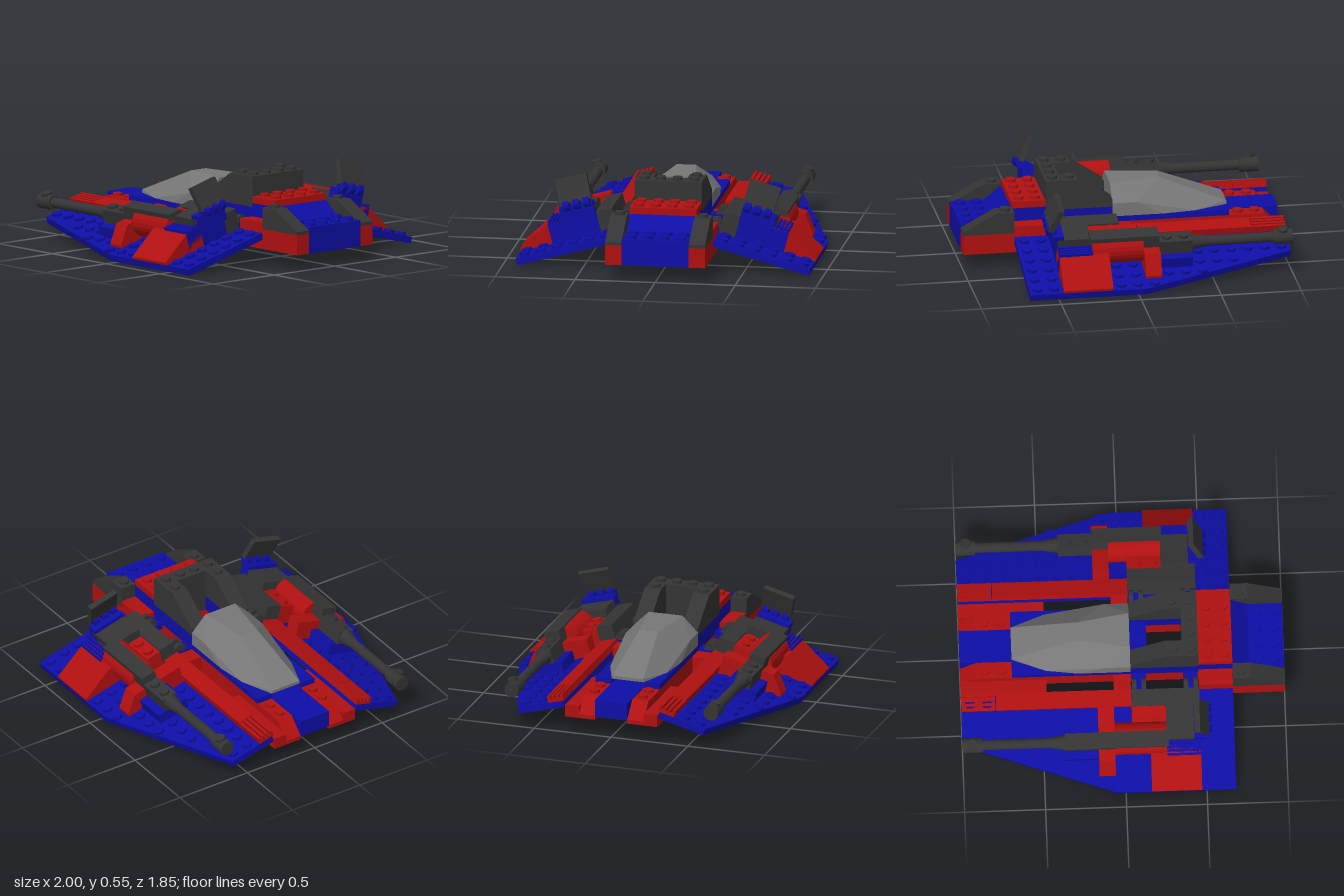
import * as THREE from 'three';
import { ConvexGeometry } from 'three/addons/geometries/ConvexGeometry.js';

const P = 0.1042; // stud pitch
const mat = (color) => new THREE.MeshStandardMaterial({ color, flatShading: true, side: THREE.DoubleSide });
const BLUE = mat(0x0e0ea6), RED = mat(0xb01010), DARK = mat(0x343434), GLASS = mat(0x777777);
const STUD = new THREE.CylinderGeometry(0.031, 0.031, 0.02, 14);

function add(parent, name, geometry, material) {
  const mesh = new THREE.Mesh(geometry, material);
  mesh.name = name;
  parent.add(mesh);
  return mesh;
}

// Block given by its limits on each axis
function block(parent, name, m, [x0, x1], [y0, y1], [z0, z1]) {
  const g = new THREE.BoxGeometry(x1 - x0, y1 - y0, Math.abs(z1 - z0));
  g.translate((x0 + x1) / 2, (y0 + y1) / 2, (z0 + z1) / 2);
  return add(parent, name, g, m);
}

function extrude(points, depth) {
  const shape = new THREE.Shape(points.map(([a, b]) => new THREE.Vector2(a, b)));
  return new THREE.ExtrudeGeometry(shape, { depth, bevelEnabled: false });
}

// Profile of [z, y] corners, swept along x
function sweepX(parent, name, m, points, x0, x1) {
  const g = extrude(points.map(([z, y]) => [-z, y]), x1 - x0).rotateY(Math.PI / 2).translate(x0, 0, 0);
  return add(parent, name, g, m);
}

// Profile of [x, y] corners, swept along z
function sweepZ(parent, name, m, points, za, zb) {
  const g = extrude(points, Math.abs(zb - za)).translate(0, 0, Math.min(za, zb));
  return add(parent, name, g, m);
}

function rodX(parent, name, m, x0, x1, y, z, r0, r1 = r0, sides = 16) {
  const g = new THREE.CylinderGeometry(r1, r0, x1 - x0, sides).rotateZ(-Math.PI / 2);
  return add(parent, name, g.translate((x0 + x1) / 2, y, z), m);
}

function studs(parent, m, xs, y, zs) {
  for (const x of xs) for (const z of zs) add(parent, 'stud', STUD, m).position.set(x, y + 0.009, z);
}

// Tilted wing in its own frame: x along, y above the plate, z outward (s = side)
function createWing(s) {
  const wing = new THREE.Group();
  wing.name = s > 0 ? 'leftWing' : 'rightWing';
  wing.position.set(0, 0.165, s * 0.305);
  wing.rotation.x = s * Math.PI / 12;
  const box = (name, m, x, y, [a, b]) => block(wing, name, m, x, y, [s * a, s * b]);

  // Plate with a swept leading edge and its studs
  const outline = [[-1, 0], [0.68, 0], [0.68, 0.625], [-0.05, 0.625], [-1, 0.305]];
  add(wing, 'wingPlate', extrude(outline.map(([x, w]) => [x, -s * w]), 0.042).rotateX(-Math.PI / 2), BLUE);
  for (let i = 0; i < 16; i++) for (let k = 0; k < 6; k++) {
    const x = -0.945 + P * 1.007 * i, w = (k + 0.5) * P;
    const edge = 0.625 - Math.max(0, -0.05 - x) * 0.337;
    if (w + 0.03 < edge) studs(wing, BLUE, [x], 0.042, [s * w]);
  }

  // Inner strip with a grooved front end
  box('innerStrip', RED, [-0.785, 0.05], [0.042, 0.085], [-0.01, 0.095]);
  box('grilleBase', RED, [-1, -0.79], [0.042, 0.06], [-0.01, 0.095]);
  for (let i = 0; i < 4; i++) box('grilleBar', RED, [-1, -0.79], [0.06, 0.085], [-0.01 + i * 0.029, 0.008 + i * 0.029]);

  // Engine housing
  box('innerHousing', DARK, [0.05, 0.47], [0.042, 0.178], [0, P]);
  box('studdedHousing', RED, [0.05, 0.26], [0.042, 0.167], [P, 2 * P]);
  studs(wing, RED, [0.105, 0.208], 0.167, [s * 1.5 * P]);
  box('rearHousing', BLUE, [0.26, 0.47], [0.042, 0.167], [P, 0.42]);
  box('rearCover', DARK, [0.26, 0.47], [0.167, 0.225], [P, 0.32]);
  for (let i = 0; i < 4; i++) box('rearGrilleBar', BLUE, [0.26, 0.47], [0.167, 0.185], [0.33 + i * 0.024, 0.344 + i * 0.024]);
  rodX(wing, 'engineDrum', RED, -0.06, 0.26, 0.145, s * 0.3, 0.1, 0.1, 24);
  box('topCover', DARK, [-0.16, 0.27], [0.205, 0.25], [0.265, 0.365]);
  box('coverBase', DARK, [-0.16, -0.06], [0.165, 0.205], [0.265, 0.365]);

  // Red sloped fairings
  const fairing = [[s * 0.3, 0.042], [s * 0.625, 0.042], [s * 0.625, 0.058], [s * 0.42, 0.167], [s * 0.3, 0.167]];
  sweepX(wing, 'outerFairing', RED, fairing, 0.16, 0.47);
  const small = [[s * 0.1, 0.042], [s * 0.52, 0.042], [s * 0.52, 0.06], [s * 0.44, 0.167], [s * 0.1, 0.167]];
  sweepX(wing, 'frontFairing', RED, small, -0.16, -0.06);

  // Cannon
  const w = s * 0.313, h = 0.157;
  box('cannonMount', BLUE, [-0.37, -0.16], [0.042, 0.11], [0.21, 0.417]);
  box('cannonBreech', DARK, [-0.37, -0.16], [0.11, 0.2], [0.262, 0.364]);
  studs(wing, DARK, [-0.318, -0.214], 0.2, [w]);
  rodX(wing, 'cannonCollar', DARK, -0.47, -0.36, h, w, 0.032, 0.05);
  rodX(wing, 'cannonBarrel', DARK, -0.9, -0.46, h, w, 0.032);
  rodX(wing, 'cannonMuzzle', DARK, -1, -0.88, h, w, 0.047);
  studs(wing, DARK, [-0.94], h + 0.042, [w]);

  // Air brake on a hinge
  box('hingeBase', BLUE, [0.43, 0.5], [0.15, 0.25], [P, 0.32]);
  for (const c of [0.135, 0.2, 0.265]) {
    const knuckle = new THREE.CylinderGeometry(0.035, 0.035, 0.04, 14).rotateX(Math.PI / 2);
    add(wing, 'hingeKnuckle', knuckle, BLUE).position.set(0.505, 0.262, s * c);
  }
  const flap = [[0.49, 0.27], [0.525, 0.28], [0.465, 0.43], [0.43, 0.42]];
  sweepZ(wing, 'airBrake', DARK, flap, s * 0.1, s * 0.3);
  return wing;
}

// Parts that repeat on each side of the fuselage
function createSide(s) {
  const side = new THREE.Group();
  side.name = s > 0 ? 'leftFuselage' : 'rightFuselage';
  const box = (name, m, x, y, [a, b]) => block(side, name, m, x, y, [s * a, s * b]);

  // Lower rails
  sweepZ(side, 'noseRail', RED, [[-1, 0.105], [-0.47, 0.105], [-0.47, 0.23], [-0.9, 0.23], [-1, 0.13]], s * 0.105, s * 0.21);
  studs(side, RED, [-0.845, -0.74], 0.23, [s * 0.157]);
  box('outerNoseRail', RED, [-1, -0.47], [0.105, 0.18], [0.21, 0.3]);
  box('middleRail', RED, [-0.47, 0.47], [0.105, 0.23], [0.105, 0.21]);
  box('crossBrick', RED, [-0.055, 0.05], [0.105, 0.23], [0.21, 0.31]);
  box('rearRail', RED, [0.47, 1], [0.105, 0.23], [0.21, 0.312]);
  box('rearDeck', RED, [0.47, 0.68], [0.23, 0.272], [0.21, 0.312]);

  // Cockpit sill and engine deck wall
  sweepZ(side, 'cockpitSill', BLUE, [[-0.68, 0.23], [0.05, 0.23], [0.05, 0.265], [-0.68, 0.265]], s * 0.105, s * 0.21);
  box('deckWall', BLUE, [0.05, 0.47], [0.23, 0.33], [0.105, 0.21]);
  const slope = [[0.05, 0.33], [0.47, 0.33], [0.47, 0.52], [0.265, 0.52], [0.05, 0.375]];
  sweepZ(side, 'deckSlope', DARK, slope, s * 0.105, s * 0.21);
  studs(side, DARK, [0.315], 0.52, [s * 0.157]);

  // Tail corner
  const tail = [[0.68, 0.23], [1, 0.23], [1, 0.25], [0.79, 0.365], [0.68, 0.365]];
  sweepZ(side, 'tailCorner', DARK, tail, s * 0.21, s * 0.312);
  studs(side, DARK, [0.732], 0.365, [s * 0.26]);

  // Wing joints
  for (const x of [0.1, 0.42]) {
    box('jointArm', BLUE, [x - 0.045, x + 0.045], [0.2, 0.24], [0.2, 0.32]);
    for (const d of [-0.03, 0.03]) rodX(side, 'jointPin', DARK, x + d - 0.014, x + d + 0.014, 0.25, s * 0.29, 0.04);
  }
  return side;
}

export function createModel() {
  const model = new THREE.Group();
  model.name = 'brickSpeeder';
  for (const s of [1, -1]) model.add(createWing(s), createSide(s));
  const rows = [-1.5, -0.5, 0.5, 1.5].map((k) => k * P);

  // Nose
  block(model, 'nose', BLUE, [-1, -0.58], [0.125, 0.235], [-0.105, 0.105]);

  // Faceted canopy
  const corners = [];
  for (const s of [1, -1]) {
    for (const [x, y, z] of [[-0.68, 0.265, 0.105], [-0.68, 0.285, 0.1], [-0.47, 0.265, 0.185], [-0.27, 0.265, 0.21],
      [-0.27, 0.45, 0.06], [-0.1, 0.35, 0.21], [0.05, 0.265, 0.21], [0.05, 0.35, 0.21], [0.05, 0.45, 0.11]]) {
      corners.push(new THREE.Vector3(x, y, z * s));
    }
  }
  add(model, 'canopy', new ConvexGeometry(corners), GLASS);

  // Deck behind the cockpit, open in the middle
  block(model, 'frontCrossbar', BLUE, [0.05, 0.155], [0.19, 0.315], [-0.105, 0.105]);
  studs(model, BLUE, [0.103], 0.315, [rows[1], rows[2]]);
  block(model, 'rearWall', DARK, [0.37, 0.47], [0.23, 0.52], [-0.105, 0.105]);
  studs(model, DARK, [0.42], 0.52, rows);

  // Rear body
  block(model, 'rearBody', BLUE, [0.47, 0.68], [0.105, 0.355], [-0.21, 0.21]);
  block(model, 'rearPlate', RED, [0.47, 0.68], [0.355, 0.397], [-0.21, 0.21]);
  studs(model, RED, [0.525, 0.629], 0.397, rows);
  const tail = [[0.68, 0.105], [1, 0.105], [1, 0.268], [0.785, 0.268], [0.68, 0.355]];
  sweepZ(model, 'tailBody', BLUE, tail, -0.21, 0.21);
  studs(model, BLUE, [0.84, 0.945], 0.268, rows);
  return model;
}
